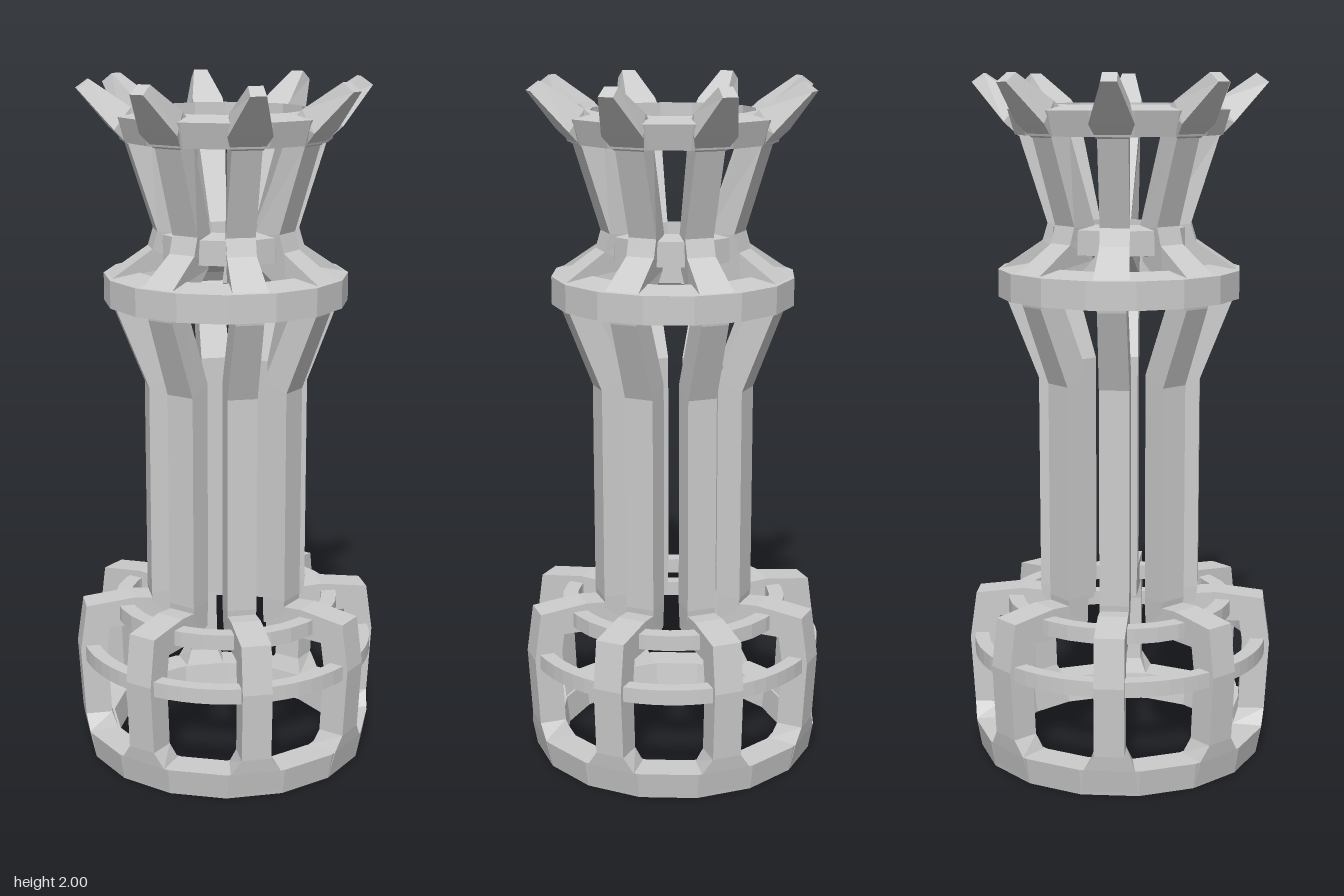
import * as THREE from 'three';

const material = new THREE.MeshStandardMaterial({ color: 0xcccccc, flatShading: true });
const COUNT = 8;

// Four-sided bar lofted through stations [outerR, outerY, innerR, innerY, outerHalfWidth, innerHalfWidth]
function loft(stations) {
  const positions = [];
  const index = [];
  stations.forEach(([ro, yo, ri, yi, ho, hi = ho]) => {
    positions.push(ro, yo, ho, ro, yo, -ho, ri, yi, -hi, ri, yi, hi);
  });
  const last = (stations.length - 1) * 4;
  for (let s = 0; s < last; s += 4) {
    for (let k = 0; k < 4; k++) {
      const a = s + k, b = s + (k + 1) % 4;
      index.push(a, b, b + 4, a, b + 4, a + 4);
    }
  }
  index.push(0, 2, 1, 0, 3, 2, last, last + 1, last + 2, last, last + 2, last + 3);
  const geometry = new THREE.BufferGeometry();
  geometry.setAttribute('position', new THREE.Float32BufferAttribute(positions, 3));
  geometry.setIndex(index);
  const flat = geometry.toNonIndexed();
  flat.computeVertexNormals();
  return flat;
}

// Eight copies of a bar around the vertical axis
function radial(name, stations) {
  const group = new THREE.Group();
  group.name = name + 's';
  const geometry = loft(stations);
  for (let i = 0; i < COUNT; i++) {
    const mesh = new THREE.Mesh(geometry, material);
    mesh.name = name;
    mesh.rotation.y = (i + 0.5) * Math.PI * 2 / COUNT;
    group.add(mesh);
  }
  return group;
}

// Closed ring; profile runs inner bottom, outer bottom, outer top, inner top
function ring(name, profile, sides = 16) {
  const points = [...profile, profile[0]].map(([r, y]) => new THREE.Vector2(r, y));
  const mesh = new THREE.Mesh(new THREE.LatheGeometry(points, sides, Math.PI / 16), material);
  mesh.name = name;
  return mesh;
}

export function createModel() {
  const model = new THREE.Group();
  model.name = 'ribbedColumn';

  // Basket at the foot
  model.add(ring('baseRing', [[0.335, 0], [0.423, 0], [0.437, 0.08], [0.345, 0.08]]));
  model.add(ring('basketHoop', [[0.395, 0.3], [0.437, 0.3], [0.437, 0.345], [0.395, 0.345]], 64));
  model.add(ring('innerHoop', [[0.29, 0.42], [0.335, 0.42], [0.335, 0.465], [0.29, 0.465]], 32));
  model.add(radial('basketRib', [
    [0.417, 0.01, 0.34, 0.01, 0.08],
    [0.431, 0.08, 0.345, 0.08, 0.073, 0.06],
    [0.438, 0.125, 0.36, 0.125, 0.043],
    [0.45, 0.33, 0.37, 0.33, 0.043],
    [0.43, 0.47, 0.36, 0.4, 0.043],
    [0.29, 0.487, 0.28, 0.4, 0.043],
    [0.17, 0.478, 0.17, 0.4, 0.04],
  ]));

  // Shaft ribs, flaring to the collar, pinching at the neck and rising to the crown
  model.add(radial('shaftRib', [
    [0.225, 0.42, 0.16, 0.42, 0.04],
    [0.234, 0.5, 0.16, 0.5, 0.043],
    [0.234, 1.13, 0.16, 1.16, 0.043],
    [0.325, 1.36, 0.25, 1.38, 0.04],
    [0.338, 1.45, 0.23, 1.41, 0.05, 0.04],
    [0.22, 1.53, 0.125, 1.48, 0.042, 0.024],
    [0.205, 1.58, 0.112, 1.57, 0.042, 0.024],
    [0.285, 1.83, 0.22, 1.84, 0.042],
  ]));
  model.add(ring('collarRing', [[0.26, 1.37], [0.352, 1.37], [0.352, 1.45], [0.26, 1.465]]));
  model.add(ring('neckRing', [[0.11, 1.49], [0.193, 1.5], [0.193, 1.57], [0.11, 1.58]]));

  // Crown with outward spikes
  model.add(ring('crownRing', [[0.235, 1.83], [0.3, 1.83], [0.32, 1.9], [0.235, 1.915]]));
  model.add(radial('crownSpike', [
    [0.285, 1.825, 0.24, 1.895, 0.045, 0.045],
    [0.325, 1.865, 0.275, 1.925, 0.062, 0.045],
    [0.42, 1.975, 0.385, 2.0, 0.022, 0.02],
  ]));

  return model;
}
